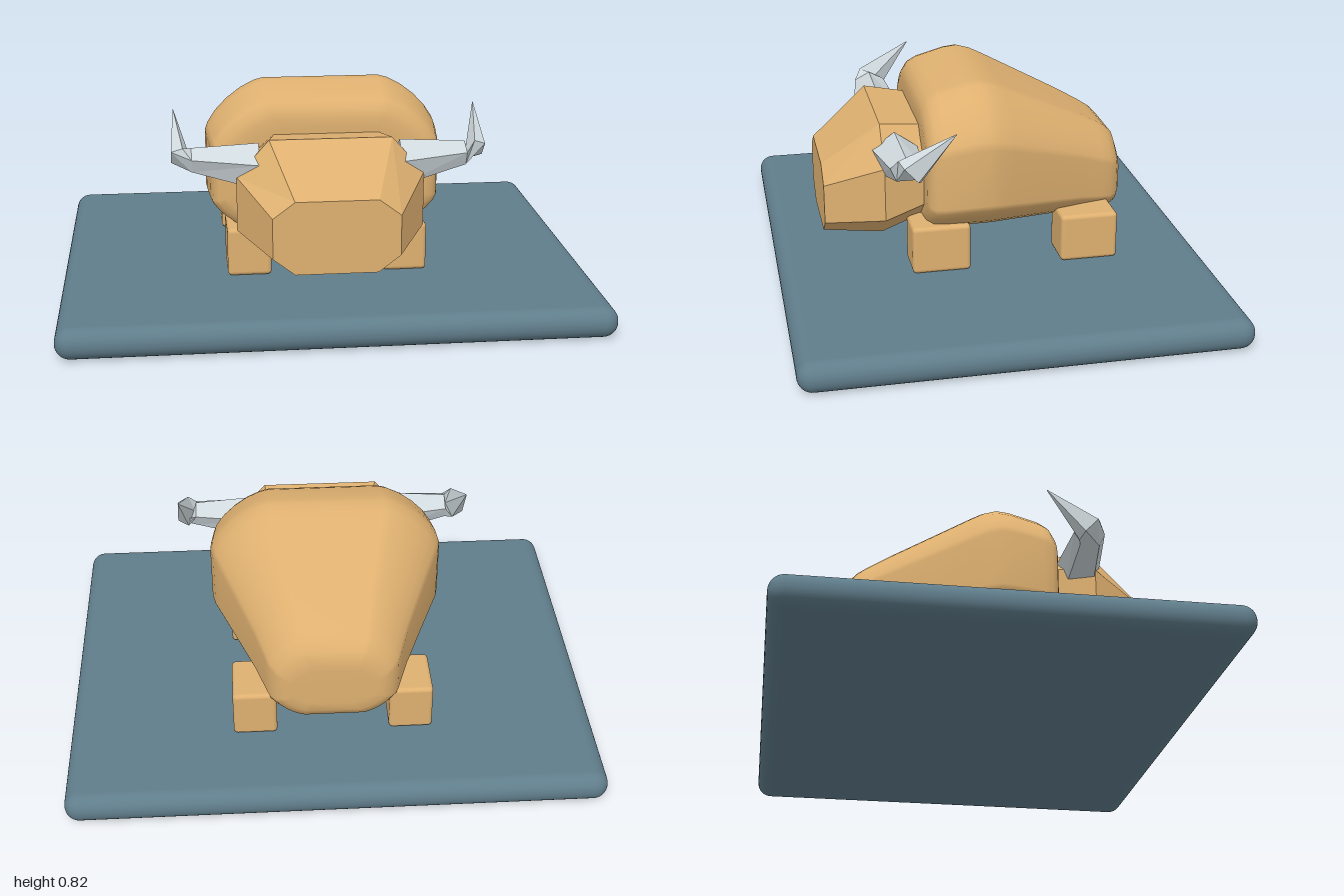
import * as THREE from 'three';
import { RoundedBoxGeometry } from 'three/addons/geometries/RoundedBoxGeometry.js';

const material = (name, color) => {
  const m = new THREE.MeshStandardMaterial({ color });
  m.name = name;
  return m;
};

// Skins equal-length rings (counter-clockwise about the direction of travel) and closes both ends
function loft(rings, smooth) {
  const n = rings[0].length, last = (rings.length - 1) * n;
  const pos = rings.flat(2), index = [];
  for (let i = 0; i < rings.length - 1; i++) {
    for (let j = 0; j < n; j++) {
      const a = i * n + j, b = i * n + (j + 1) % n;
      index.push(a, b, a + n, b, b + n, a + n);
    }
  }
  const centre = ring => [0, 1, 2].map(k => ring.reduce((s, p) => s + p[k], 0) / n);
  const c0 = pos.length / 3;
  pos.push(...centre(rings[0]), ...centre(rings[rings.length - 1]));
  for (let j = 0; j < n; j++) {
    const k = (j + 1) % n;
    index.push(c0, k, j, c0 + 1, last + j, last + k);
  }
  let g = new THREE.BufferGeometry();
  g.setAttribute('position', new THREE.Float32BufferAttribute(pos, 3));
  g.setIndex(index);
  if (!smooth) g = g.toNonIndexed();
  g.computeVertexNormals();
  return g;
}

// Softly chamfered body section at z with half width w, top t and bottom b
function bodyRing([z, w, t, b]) {
  const h = t - b, rx = w * 0.5, steps = 6, ring = [];
  for (let q = 0; q < 4; q++) {
    const sx = q === 0 || q === 3 ? 1 : -1, top = q < 2;
    const ry = h * (top ? 0.35 : 0.27);
    for (let i = 0; i <= steps; i++) {
      const a = (q + i / steps) * Math.PI / 2;
      const c = Math.pow(Math.abs(Math.cos(a)), 1.38), s = Math.pow(Math.abs(Math.sin(a)), 1.38);
      ring.push([sx * (w - rx + rx * c), top ? t - ry + ry * s : b + ry - ry * s, z]);
    }
  }
  return ring;
}

// Octagonal head section: z, half width, flat half width, then four heights from bottom to top
const headRing = ([z, w, f, b, lo, hi, t]) => [
  [w, lo, z], [w, hi, z], [f, t, z], [-f, t, z],
  [-w, hi, z], [-w, lo, z], [-f, b, z], [f, b, z],
];

// Five-sided horn section spanned by u and v around c
const hornRing = (c, u, v) => Array.from({ length: 5 }, (_, i) => {
  const a = i / 5 * Math.PI * 2;
  return c.map((x, k) => x + u[k] * Math.cos(a) + v[k] * Math.sin(a));
});

export function createModel() {
  const group = new THREE.Group();
  const tan = material('tan hide', 0xdeb070);
  const slate = material('slate base', 0x607d8b);
  const pale = material('pale horn', 0xcfd8dc);
  const add = (name, geometry, mat, x = 0, y = 0, z = 0) => {
    const mesh = new THREE.Mesh(geometry, mat);
    mesh.name = name;
    mesh.position.set(x, y, z);
    group.add(mesh);
  };

  // Rounded base slab
  add('base', new RoundedBoxGeometry(2, 0.115, 1.62, 5, 0.056), slate, 0, 0.0575, 0);

  // Four block legs
  for (const s of [1, -1]) {
    const side = s > 0 ? 'Left' : 'Right';
    add('front' + side + 'Leg', new RoundedBoxGeometry(0.165, 0.185, 0.22, 3, 0.016), tan, s * 0.295, 0.2075, 0.21);
    add('back' + side + 'Leg', new RoundedBoxGeometry(0.165, 0.185, 0.22, 3, 0.016), tan, s * 0.295, 0.2075, -0.36);
  }

  // Humped body, narrow at the rump and wide at the shoulders
  const body = [
    [-0.527, 0.15, 0.45, 0.30],
    [-0.525, 0.185, 0.49, 0.265],
    [-0.51, 0.215, 0.53, 0.235],
    [-0.48, 0.24, 0.56, 0.222],
    [-0.44, 0.255, 0.586, 0.222],
    [-0.35, 0.288, 0.636, 0.228],
    [-0.2, 0.352, 0.711, 0.235],
    [-0.06, 0.413, 0.781, 0.242],
    [-0.01, 0.435, 0.804, 0.244],
    [0.04, 0.446, 0.817, 0.245],
    [0.09, 0.444, 0.812, 0.245],
    [0.2, 0.433, 0.783, 0.245],
    [0.235, 0.425, 0.765, 0.25],
    [0.256, 0.405, 0.735, 0.268],
    [0.264, 0.375, 0.705, 0.295],
    [0.265, 0.33, 0.67, 0.33],
  ];
  add('body', loft(body.map(bodyRing), true), tan);

  // Faceted head with a sloping muzzle
  const head = [
    [0.2, 0.29, 0.185, 0.30, 0.385, 0.55, 0.64],
    [0.415, 0.345, 0.225, 0.235, 0.33, 0.535, 0.67],
    [0.63, 0.23, 0.15, 0.228, 0.29, 0.44, 0.5],
  ];
  add('head', loft(head.map(headRing), false), tan);

  // Horns reach outward, then bend up and back to a point
  const horn = [
    hornRing([0.26, 0.557, 0.365], [0, 0.09, 0], [0, 0, 0.09]),
    hornRing([0.505, 0.588, 0.358], [0, 0.045, 0], [0, 0, 0.062]),
    hornRing([0.548, 0.597, 0.352], [-0.038, 0, 0], [0, 0.046, 0.042]),
    hornRing([0.567, 0.737, 0.188], [-0.001, 0, 0], [0, 0.001, 0.001]),
  ];
  const mirrored = horn.map(ring => ring.map(([x, y, z]) => [-x, y, z]).reverse());
  add('leftHorn', loft(horn, false), pale);
  add('rightHorn', loft(mirrored, false), pale);

  return group;
}
